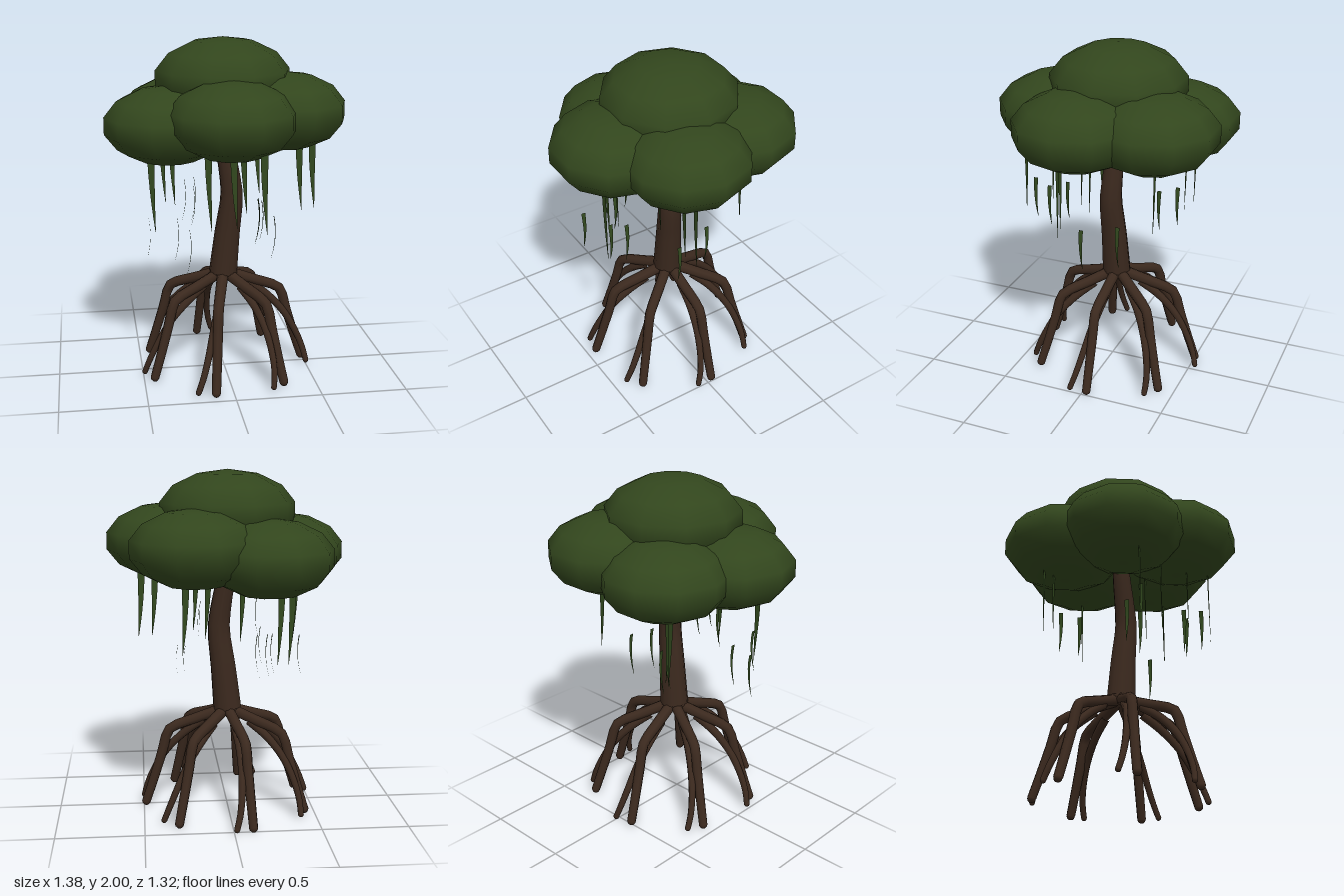
import * as THREE from 'three';

const bark = new THREE.MeshStandardMaterial({ color: 0x3b291e });
bark.name = 'bark';
const leaf = new THREE.MeshStandardMaterial({ color: 0x32461d });
leaf.name = 'leaf';
const moss = new THREE.MeshStandardMaterial({ color: 0x31481e, side: THREE.DoubleSide });
moss.name = 'moss';

const CZ = -0.03; // z of the tree's axis

function add(parent, name, geometry, material) {
  const mesh = new THREE.Mesh(geometry, material);
  mesh.name = name;
  parent.add(mesh);
  return mesh;
}

// Tube along points whose radius runs from r0 to r1
function taperedTube(points, r0, r1, segments, sides) {
  const curve = new THREE.CatmullRomCurve3(points, false, 'centripetal');
  const geo = new THREE.TubeGeometry(curve, segments, 1, sides);
  const pos = geo.attributes.position;
  const v = new THREE.Vector3();
  for (let i = 0; i < pos.count; i++) {
    const t = Math.floor(i / (sides + 1)) / segments;
    const c = curve.getPointAt(t);
    v.fromBufferAttribute(pos, i).sub(c).multiplyScalar(r0 + (r1 - r0) * t).add(c);
    pos.setXYZ(i, v.x, v.y, v.z);
  }
  return geo;
}

// Root given by [radius from the axis, height] pairs, turning from one angle to another
function root(parent, name, profile, start, end, r0, r1) {
  const pts = profile.map(([r, y], i) => {
    const a = start + (end - start) * (i / (profile.length - 1));
    return new THREE.Vector3(r * Math.cos(a), y, CZ + r * Math.sin(a));
  });
  const group = new THREE.Group();
  group.name = name;
  parent.add(group);
  add(group, name + 'Limb', taperedTube(pts, r0, r1, 16, 8), bark);
  add(group, name + 'Tip', new THREE.SphereGeometry(r1, 8, 6), bark).position.copy(pts.at(-1));
}

// Thin hanging ribbon that narrows to a point and sways in x
function ribbon(width, length, sway, acrossZ) {
  const geo = new THREE.PlaneGeometry(1, 1, 1, 6);
  const pos = geo.attributes.position;
  for (let i = 0; i < pos.count; i++) {
    const t = 0.5 - pos.getY(i);
    const w = pos.getX(i) * width * (1 - 0.95 * t ** 1.5);
    const s = sway(t);
    pos.setXYZ(i, acrossZ ? s : w + s, -t * length, acrossZ ? w : 0);
  }
  geo.computeVertexNormals();
  return geo;
}

export function createModel() {
  const tree = new THREE.Group();
  tree.name = 'tree';

  // Leaning trunk
  const trunkPath = [[-0.002, 0.6, -0.025], [0.022, 0.85, -0.018], [0.047, 1.08, -0.008],
    [0.03, 1.23, -0.014], [0.002, 1.4, -0.024], [-0.01, 1.6, -0.03]].map((p) => new THREE.Vector3(...p));
  add(tree, 'trunk', taperedTube(trunkPath, 0.085, 0.046, 12, 10), bark);
  add(tree, 'trunkBase', new THREE.SphereGeometry(0.082, 10, 6).scale(1, 0.4, 1), bark)
    .position.set(0, 0.6, -0.025);

  // Seven stilt roots with a sharp knee, each with a thinner side root
  const roots = new THREE.Group();
  roots.name = 'roots';
  tree.add(roots);
  const stilt = [[0, 0.602], [0.17, 0.543], [0.325, 0.488], [0.352, 0.462], [0.39, 0.33],
    [0.44, 0.17], [0.487, 0.027]];
  const side = [[0.14, 0.53], [0.26, 0.445], [0.365, 0.335], [0.445, 0.2], [0.487, 0.1], [0.507, 0.03]];
  for (let i = 0; i < 7; i++) {
    const a = (i / 7) * Math.PI * 2;
    root(roots, 'stiltRoot' + i, stilt, a, a, 0.034, 0.026);
    root(roots, 'sideRoot' + i, side, a, a + 0.2, 0.026, 0.017);
  }

  // Canopy of flattened leaf clumps: x, y, z, radius
  const canopy = new THREE.Group();
  canopy.name = 'canopy';
  tree.add(canopy);
  [
    [-0.002, 1.76, -0.035, 0.4],
    [0, 1.58, 0.316, 0.371],
    [0.33, 1.587, 0.073, 0.371],
    [-0.33, 1.522, 0.078, 0.371],
    [-0.212, 1.522, -0.312, 0.371],
    [0.199, 1.58, -0.32, 0.371],
  ].forEach(([x, y, z, r], i) => {
    const clump = add(canopy, 'leafClump' + i, new THREE.SphereGeometry(r, 10, 7), leaf);
    clump.scale.y = 0.6;
    clump.position.set(x, y, z);
  });

  // Broad moss ribbons under the canopy: x, z, bottom y
  const hanging = new THREE.Group();
  hanging.name = 'hangingMoss';
  tree.add(hanging);
  [
    [-0.44, 0.2, 0.93], [-0.33, -0.4, 0.94], [-0.275, -0.36, 0.93], [-0.125, 0.25, 0.93],
    [0.0, 0.38, 0.98], [0.1, 0.1, 0.99], [0.15, 0.48, 0.97], [0.255, -0.35, 0.99],
    [0.415, 0.14, 1.01], [0.495, 0.12, 1.01],
  ].forEach(([x, z, bottom], i) => {
    const geo = ribbon(0.042, 1.42 - bottom, (t) => 0.02 * t * t, false);
    add(hanging, 'broadMoss' + i, geo, moss).position.set(x, 1.42, z);
  });

  // Fine moss strands, turned sideways and lower down: x, top y, z
  [
    [-0.455, 1.0, 0.13], [-0.295, 1.0, 0.165], [-0.25, 1.0, 0.405], [-0.195, 1.23, 0.145],
    [-0.2, 1.1, -0.335], [-0.155, 1.08, -0.235], [0.14, 1.14, 0.34], [0.125, 1.17, 0.435],
    [0.25, 1.0, -0.13], [0.285, 0.96, 0.08],
  ].forEach(([x, y, z], i) => {
    const geo = ribbon(0.026, 0.26, (t) => 0.05 * t - 0.065 * t * t, true);
    add(hanging, 'fineMoss' + i, geo, moss).position.set(x, y, z);
  });

  return tree;
}
